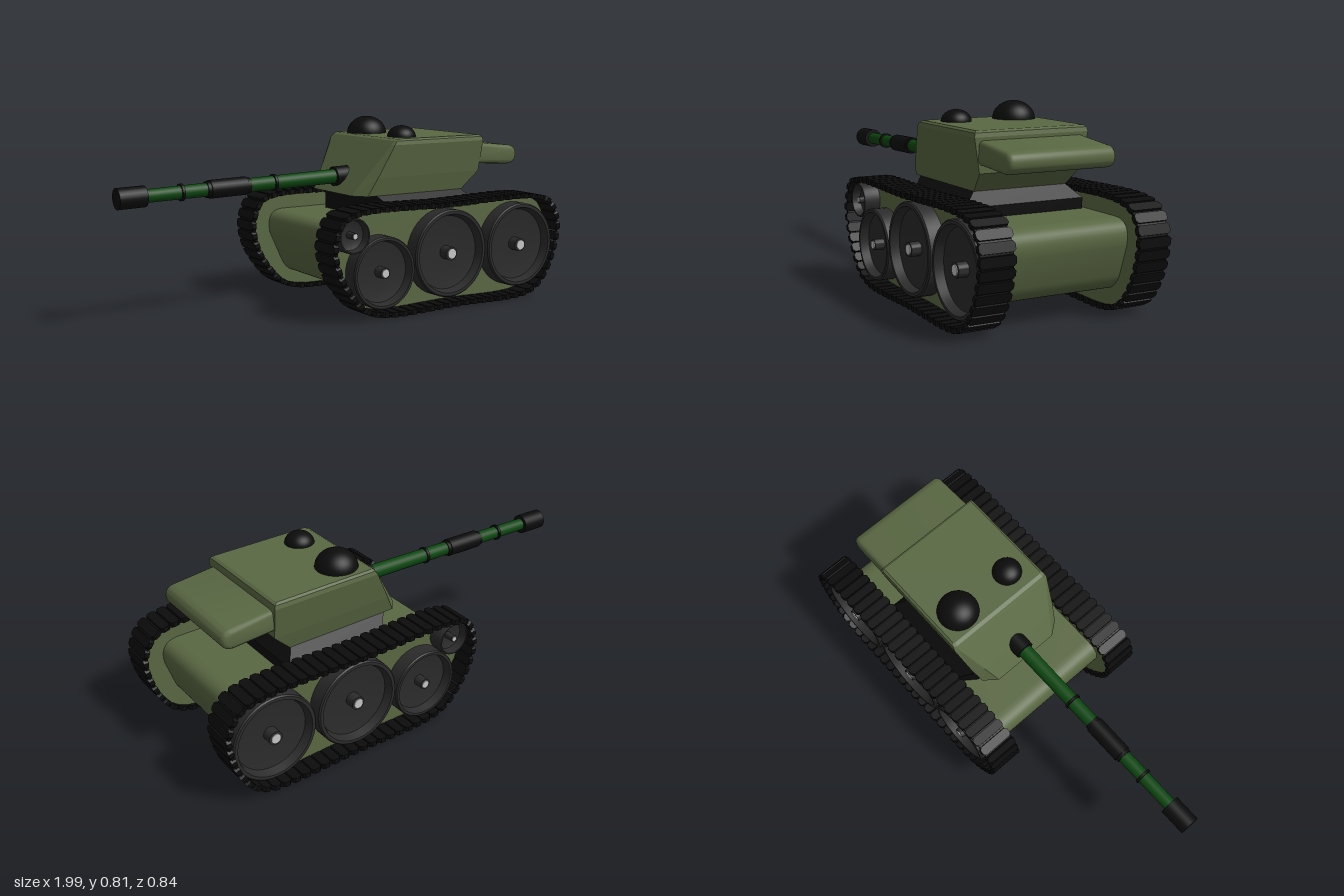
import * as THREE from 'three';
import { mergeGeometries, toCreasedNormals } from 'three/addons/utils/BufferGeometryUtils.js';

const paint = (name, color) => {
  const m = new THREE.MeshStandardMaterial({ color });
  m.name = name;
  return m;
};
const V2 = (x, y) => new THREE.Vector2(x, y);

// Track loop seen from the side, clockwise from the top front
const loop = new THREE.CatmullRomCurve3([
  [-0.13, 0.45], [0.35, 0.453], [0.84, 0.453], [0.93, 0.42], [0.977, 0.33], [0.965, 0.22],
  [0.925, 0.12], [0.87, 0.05], [0.79, 0.014], [0.4, 0.012], [0, 0.014], [-0.09, 0.045],
  [-0.17, 0.13], [-0.22, 0.22], [-0.237, 0.32], [-0.2, 0.42],
].map(([x, y]) => new THREE.Vector3(x, y, 0)), true, 'centripetal');

// Track loop moved outward by d
function outline(d, n = 90) {
  const pts = [];
  for (let i = 0; i < n; i++) {
    const p = loop.getPointAt(i / n), t = loop.getTangentAt(i / n);
    pts.push(V2(p.x - t.y * d, p.y + t.x * d));
  }
  return pts;
}

// Extrusion along z, centred on z = 0
function slab(shape, width, bevel = 0) {
  const g = new THREE.ExtrudeGeometry(shape, {
    depth: width - 2 * bevel, curveSegments: 10, bevelEnabled: bevel > 0,
    bevelSize: bevel, bevelThickness: bevel, bevelSegments: 3,
  });
  g.translate(0, 0, bevel - width / 2);
  return toCreasedNormals(g, 0.6);
}

// Faceted body from level sections: y, nose x, nose half width, shoulder x, half width, back x
function loft(sections) {
  const rings = sections.map(([y, xf, wf, xs, w, xb]) =>
    [[xf, y, wf], [xs, y, w], [xb, y, w], [xb, y, -w], [xs, y, -w], [xf, y, -wf]]);
  const pos = [];
  const tri = (a, b, c) => pos.push(...a, ...b, ...c);
  for (let k = 0; k + 1 < rings.length; k++) {
    const lo = rings[k], hi = rings[k + 1];
    for (let i = 0; i < 6; i++) {
      const j = (i + 1) % 6;
      tri(lo[i], lo[j], hi[j]);
      tri(lo[i], hi[j], hi[i]);
    }
  }
  const bottom = rings[0], top = rings[rings.length - 1];
  for (let i = 1; i < 5; i++) {
    tri(top[0], top[i], top[i + 1]);
    tri(bottom[0], bottom[i + 1], bottom[i]);
  }
  const g = new THREE.BufferGeometry();
  g.setAttribute('position', new THREE.Float32BufferAttribute(pos, 3));
  g.computeVertexNormals();
  return g;
}

export function createModel() {
  const olive = paint('olive paint', 0x5a6843);
  const green = paint('barrel green', 0x0c4810);
  const black = paint('black', 0x0c0c0c);
  const rubber = paint('wheel grey', 0x2b2b2c);
  const steel = paint('light steel', 0xc8c8c8);

  const model = new THREE.Group();
  model.name = 'tank';
  const add = (name, geometry, material, parent = model) => {
    const mesh = new THREE.Mesh(geometry, material);
    mesh.name = name;
    parent.add(mesh);
    return mesh;
  };

  // Hull with rounded nose and tail
  const hull = new THREE.Shape();
  hull.moveTo(0, 0.085);
  hull.lineTo(0.74, 0.085);
  hull.quadraticCurveTo(0.82, 0.085, 0.85, 0.16);
  hull.lineTo(0.89, 0.28);
  hull.quadraticCurveTo(0.91, 0.385, 0.81, 0.385);
  hull.lineTo(-0.08, 0.385);
  hull.quadraticCurveTo(-0.17, 0.385, -0.15, 0.28);
  hull.lineTo(-0.09, 0.15);
  hull.quadraticCurveTo(-0.06, 0.085, 0, 0.085);
  add('hull', slab(hull, 0.57), olive);

  // Turret base and turret
  add('turretBase', loft([
    [0.38, 0.1, 0.2, 0.15, 0.268, 0.61],
    [0.43, 0.1, 0.2, 0.15, 0.268, 0.61],
    [0.487, 0.08, 0.17, 0.1, 0.21, 0.565],
  ]), black);
  add('turret', loft([
    [0.485, 0.01, 0.155, 0.055, 0.212, 0.57],
    [0.565, 0.063, 0.185, 0.095, 0.232, 0.65],
    [0.705, 0.158, 0.24, 0.165, 0.257, 0.656],
    [0.722, 0.17, 0.24, 0.177, 0.253, 0.652],
    [0.73, 0.185, 0.235, 0.19, 0.243, 0.64],
  ]), olive);

  // Stowage box behind the turret
  const bustle = new THREE.Shape();
  bustle.moveTo(0.6, 0.62);
  bustle.lineTo(0.83, 0.605);
  bustle.quadraticCurveTo(0.86, 0.605, 0.86, 0.63);
  bustle.quadraticCurveTo(0.86, 0.652, 0.83, 0.653);
  bustle.lineTo(0.6, 0.679);
  add('stowageBox', slab(bustle, 0.475, 0.02), olive);

  // Hatch domes
  for (const [name, z, r, h] of [['largeHatch', -0.135, 0.09, 0.077], ['smallHatch', 0.138, 0.064, 0.05]]) {
    const dome = add(name, new THREE.SphereGeometry(r, 32, 12, 0, Math.PI * 2, 0, Math.PI / 2), black);
    dome.scale.y = h / r;
    dome.position.set(0.285, 0.729, z);
  }

  // Gun, pointing along -x and dipping slightly
  const gun = new THREE.Group();
  gun.name = 'gun';
  gun.position.set(0.06, 0.557, 0);
  gun.rotation.z = Math.PI / 2 + 0.0257;
  model.add(gun);
  for (const [name, from, to, r0, r1, mat] of [
    ['mantlet', -0.03, 0.045, 0.043, 0.043, black],
    ['barrel', 0.03, 1.04, 0.032, 0.027, green],
    ['rearBand', 0.343, 0.355, 0.037, 0.037, black],
    ['sleeve', 0.485, 0.655, 0.039, 0.039, black],
    ['sleeveCollar', 0.47, 0.67, 0.034, 0.034, black],
    ['frontBand', 0.775, 0.787, 0.036, 0.036, black],
    ['muzzle', 0.94, 1.059, 0.044, 0.044, black],
  ]) {
    add(name, new THREE.CylinderGeometry(r1, r0, to - from, 24), mat, gun).position.y = (from + to) / 2;
  }

  // Track belt, links and side plate shared by both sides
  const beltShape = new THREE.Shape(outline(0.003));
  beltShape.holes.push(new THREE.Path(outline(-0.009)));
  const belt = slab(beltShape, 0.136);
  const plate = slab(new THREE.Shape(outline(-0.008)), 0.045);

  const count = 62, pitch = loop.getLength() / count;
  const a = pitch * 0.43, b = 0.075, c = 0.01;
  const linkShape = new THREE.Shape([
    V2(-a + c, -b), V2(a - c, -b), V2(a, -b + c), V2(a, b - c),
    V2(a - c, b), V2(-a + c, b), V2(-a, b - c), V2(-a, -b + c),
  ]);
  const link = new THREE.ExtrudeGeometry(linkShape, { depth: 0.022, bevelEnabled: false });
  link.translate(0, 0, -0.011).rotateX(-Math.PI / 2);
  const links = [];
  for (let i = 0; i < count; i++) {
    const p = loop.getPointAt(i / count), t = loop.getTangentAt(i / count);
    links.push(link.clone().rotateZ(Math.atan2(t.y, t.x)).translate(p.x, p.y, 0));
  }
  const treads = mergeGeometries(links);

  // Dished wheel with a hub
  const wheelGeometry = (r, hub) => toCreasedNormals(new THREE.LatheGeometry([
    V2(r, 0), V2(r, 0.066), V2(r * 0.97, 0.072), V2(r * 0.9, 0.072), V2(r * 0.84, 0.035),
    V2(r * 0.5, 0.026), V2(hub, 0.026), V2(hub, 0.07), V2(0, 0.07),
  ], 40), 0.5);
  const wheels = [
    ['idlerWheel', -0.135, 0.358, 0.075, 0.015],
    ['frontWheel', 0.018, 0.187, 0.155, 0.024],
    ['middleWheel', 0.37, 0.235, 0.193, 0.03],
    ['rearWheel', 0.766, 0.235, 0.19, 0.03],
  ];

  for (const s of [1, -1]) {
    const side = new THREE.Group();
    side.name = s > 0 ? 'leftTrack' : 'rightTrack';
    model.add(side);
    add('belt', belt, black, side).position.z = s * 0.344;
    add('links', treads, black, side).position.z = s * 0.344;
    add('sidePlate', plate, olive, side).position.z = s * 0.307;
    for (const [name, x, y, r, hub] of wheels) {
      const wheel = new THREE.Group();
      wheel.name = name;
      wheel.position.set(x, y, s * 0.328);
      wheel.rotation.x = s * Math.PI / 2;
      side.add(wheel);
      add('disc', wheelGeometry(r, hub), rubber, wheel);
      add('hubCap', new THREE.CylinderGeometry(hub * 0.72, hub * 0.72, 0.006, 16), steel, wheel).position.y = 0.071;
    }
  }
  return model;
}
